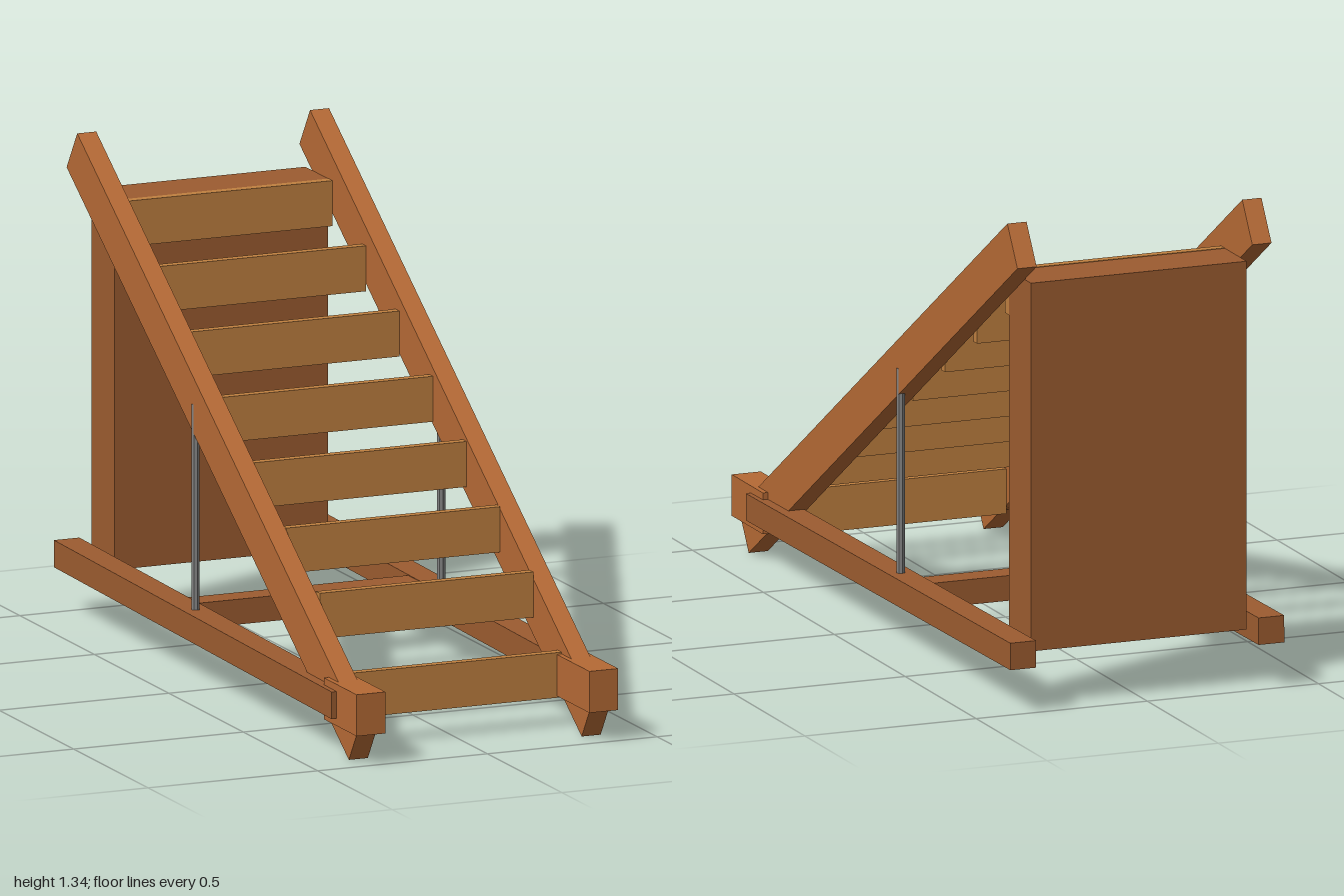
import * as THREE from 'three';

const paint = (color) => new THREE.MeshStandardMaterial({ color, flatShading: true });

export function createModel() {
  const model = new THREE.Group();
  model.name = 'staircase';
  const stringerWood = paint(0xb56a35);
  const frameWood = paint(0x9c5c30);
  const stepWood = paint(0xc08040);
  const steel = paint(0x808080);

  const add = (name, geometry, material, x, y, z, tilt = 0) => {
    const mesh = new THREE.Mesh(geometry, material);
    mesh.name = name;
    mesh.position.set(x, y, z);
    mesh.rotation.x = tilt;
    model.add(mesh);
    return mesh;
  };
  const box = (w, h, d) => new THREE.BoxGeometry(w, h, d);

  // Side parts, mirrored left and right
  for (const [side, s] of [['left', 1], ['right', -1]]) {
    add(side + 'Stringer', box(0.056, 0.13, 2.262), stringerWood, s * 0.343, 0.677, 0.003, Math.atan2(1.235, 1.895));
    add(side + 'BaseRail', box(0.075, 0.075, 1.865), frameWood, s * 0.3625, 0.1575, -0.0675, 0.0107);
    add(side + 'FootBlock', box(0.085, 0.115, 0.22), stringerWood, s * 0.343, 0.1475, 0.89);
    add(side + 'SupportRod', new THREE.CylinderGeometry(0.012, 0.012, 0.6, 8), steel, s * 0.362, 0.465, -0.135);
  }

  // Upright step boards; the lowest sits between the foot blocks
  add('step1', box(0.63, 0.125, 0.026), stepWood, 0, 0.1475, 0.768);
  for (let i = 0; i < 7; i++) {
    add('step' + (i + 2), box(0.63, 0.126, 0.026), stepWood, 0, 0.329 + i * 0.1323, 0.58 - i * 0.2253);
  }

  // Back panel and floor cross beam
  add('backPanel', box(0.63, 1.025, 0.153), frameWood, 0, 0.6725, -0.8635);
  add('crossBeam', box(0.65, 0.07, 0.075), frameWood, 0, 0.16, -0.2375);
  return model;
}
